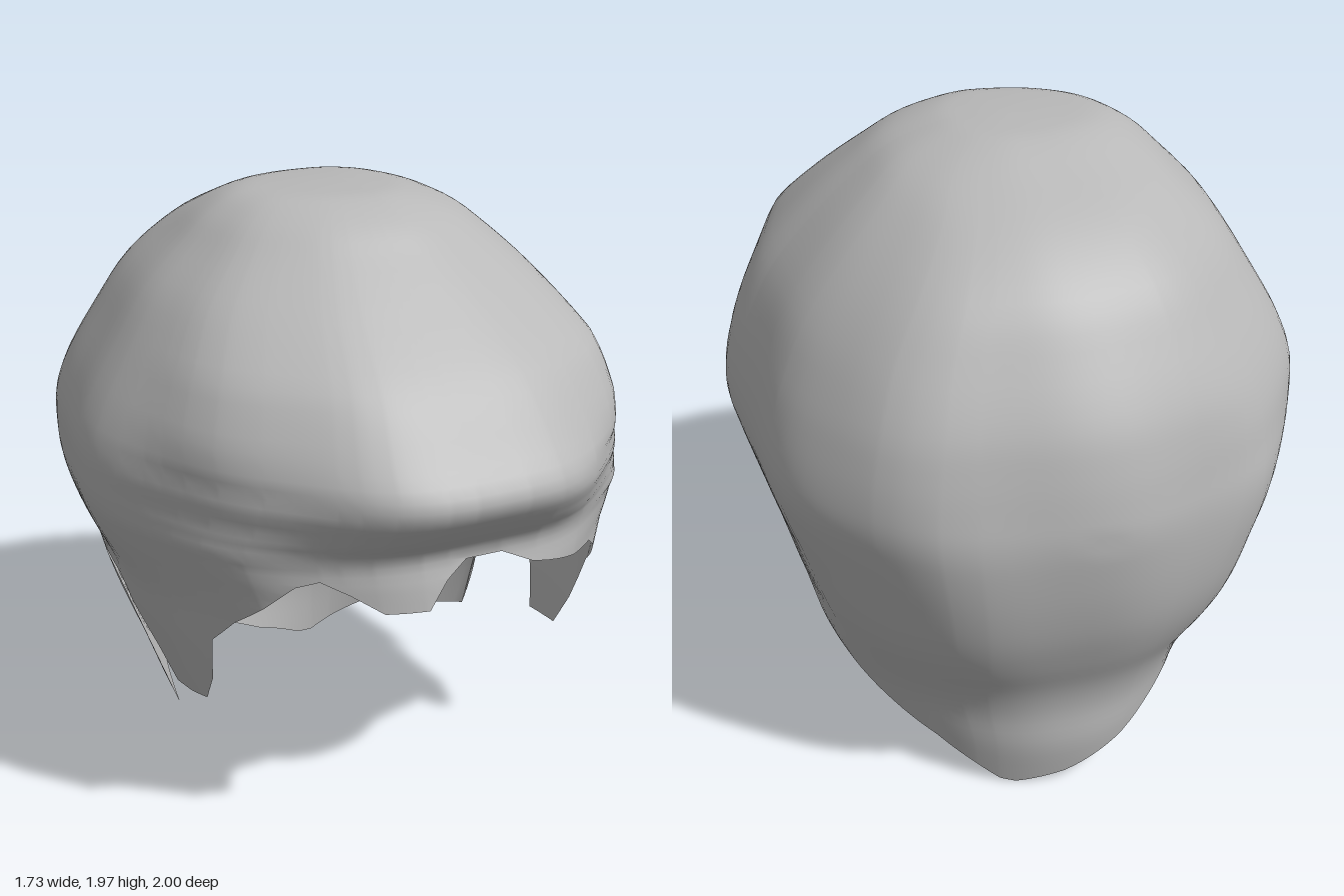
import * as THREE from 'three';
import { mergeVertices } from 'three/addons/utils/BufferGeometryUtils.js';

const { clamp, degToRad, smoothstep } = THREE.MathUtils;

// Cross-sections from crown to nape: height, then reach to front, back, right (-x), left (+x)
const SECTIONS = [
  [1.966, 0, 0, 0, 0],
  [1.962, 0.14, 0.12, 0.17, 0.1],
  [1.95, 0.25, 0.23, 0.31, 0.2],
  [1.9, 0.36, 0.38, 0.41, 0.34],
  [1.82, 0.46, 0.59, 0.5, 0.45],
  [1.7, 0.61, 0.75, 0.62, 0.58],
  [1.55, 0.79, 0.85, 0.72, 0.71],
  [1.4, 0.92, 0.93, 0.81, 0.79],
  [1.28, 1.01, 0.965, 0.86, 0.835],
  [1.17, 0.94, 0.985, 0.866, 0.86],
  [1.08, 0.85, 0.995, 0.855, 0.86],
  [0.98, 0.86, 0.99, 0.82, 0.835],
  [0.84, 0.88, 0.97, 0.755, 0.79],
  [0.7, 0.88, 0.935, 0.715, 0.75],
  [0.56, 0.88, 0.88, 0.67, 0.71],
  [0.42, 0.86, 0.815, 0.625, 0.68],
  [0.3, 0.84, 0.785, 0.59, 0.64],
  [0.16, 0.82, 0.78, 0.54, 0.58],
  [0, 0.8, 0.75, 0.5, 0.55],
];

// Hem height by angle in degrees (0 = front, 90 = left side, 180 = nape)
const HEM = [
  [0, 1.05], [7, 1.05], [14, 1.0], [28, 0.955], [40, 0.93], [48, 0.87], [58, 0.76], [62, 0.6],
  [67, 0.47], [73, 0.45], [80, 0.43], [83.5, 0.54], [89.5, 0.67], [90.5, 0.82], [96, 0.835],
  [102, 0.82], [103.5, 0.77], [104.5, 0.6], [105, 0.28], [113, 0.24], [126, 0.2], [140, 0.15],
  [152, 0.07], [160, 0.01], [165, 0], [180, 0.035], [200, 0.12], [212, 0.2], [220, 0.24],
  [243, 0.25], [255, 0.2], [256, 0.74], [260, 0.77], [268, 0.76], [270.5, 0.67], [276.5, 0.55],
  [280, 0.44], [287, 0.45], [293, 0.47], [298, 0.58], [302, 0.74], [310, 0.84], [319, 0.92],
  [327, 1.0], [332, 1.02], [337, 0.98], [343, 0.92], [352, 0.92], [356, 1.0], [360, 1.05],
];

// Fullness of the two front corners by height: full forehead, slimmer at the brow ridge
const FRONT_CORNER = [[0, 0], [0.95, 0], [1.08, 0.02], [1.17, -0.03], [1.28, -0.05],
  [1.4, 0.01], [1.55, 0.05], [1.7, 0.04], [1.95, 0]];

const sectionCurve = (m, n) => new THREE.CatmullRomCurve3(
  SECTIONS.map(s => new THREE.Vector3(s[m], s[0], s[n])), false, 'catmullrom', 0.5);
const depthCurve = sectionCurve(1, 2);
const widthCurve = sectionCurve(3, 4);

// Linear look-up in a table of pairs
function lookUp(table, v) {
  const found = table.findIndex(p => p[0] >= v);
  const k = found < 0 ? table.length - 1 : Math.max(1, found);
  const [a0, b0] = table[k - 1], [a1, b1] = table[k];
  return b0 + (b1 - b0) * clamp((v - a0) / (a1 - a0), 0, 1);
}

// Curve parameter at which the shell reaches a height
function paramAt(y) {
  let lo = 0, hi = 1;
  for (let i = 0; i < 30; i++) {
    const mid = (lo + hi) / 2;
    if (depthCurve.getPoint(mid).y > y) lo = mid; else hi = mid;
  }
  return hi;
}

// Back corners are full above the nape; the right one (-x) flattens again higher up
function cornerFullness(c, s, y) {
  if (c > 0) return lookUp(FRONT_CORNER, y);
  const left = 0.055 * smoothstep(y, 0.25, 0.65) * (1 - smoothstep(y, 1.6, 1.96));
  return s > 0 ? left : left * (1 - 0.75 * smoothstep(y, 0.75, 1.25));
}

// Point on the shell for an angle and a curve parameter, with soft waves in the hair
function shellPoint(deg, t) {
  const a = degToRad(deg), c = Math.cos(a), s = Math.sin(a);
  const d = depthCurve.getPoint(t), w = widthCurve.getPoint(t);
  const fade = Math.sin(Math.PI * Math.min(1, t * 1.1));
  const wave = 0.007 * fade * (Math.sin(7 * a + 9 * t) + Math.sin(11 * a - 6 * t + 1)) - 0.004 * fade;
  const scale = 1 + wave + cornerFullness(c, s, d.y) * Math.sin(2 * a) ** 2;
  let z = (c > 0 ? d.x * c : -d.z * Math.pow(-c, 0.93)) * scale;
  const x = (s > 0 ? w.z : -w.x) * Math.pow(Math.abs(s), 0.95) * scale;
  // The lower right flap behind the ear sweeps forward
  z += 0.32 * Math.max(0, 0.6 - d.y) * Math.exp(-(((deg - 255) / 16) ** 2));
  // The fringe points slightly towards the left
  return [x + 0.05 * Math.max(0, z), d.y, clamp(z, -1, 1)];
}

function hairGeometry() {
  const rows = 72;
  const angles = HEM.map(h => h[0]);
  for (let a = 0; a < 360; a += 3) {
    if (!angles.some(b => Math.abs(a - b) < 0.9)) angles.push(a);
  }
  angles.sort((a, b) => a - b);

  const points = [], faces = [];
  angles.forEach((deg, i) => {
    const end = paramAt(lookUp(HEM, deg));
    for (let j = 0; j <= rows; j++) {
      points.push(...shellPoint(deg % 360, Math.min(j / rows, end)));
      if (i && j) {
        const q = i * (rows + 1) + j, p = q - rows - 1;
        faces.push(p - 1, p, q, p - 1, q, q - 1);
      }
    }
  });

  let geometry = new THREE.BufferGeometry();
  geometry.setAttribute('position', new THREE.Float32BufferAttribute(points, 3));
  geometry.setIndex(faces);
  geometry = mergeVertices(geometry, 1e-5);

  // Drop the triangles that collapse at the crown and below the hem
  const index = geometry.index.array, kept = [];
  for (let i = 0; i < index.length; i += 3) {
    const [a, b, c] = [index[i], index[i + 1], index[i + 2]];
    if (a !== b && b !== c && a !== c) kept.push(a, b, c);
  }
  geometry.setIndex(kept);
  geometry.computeVertexNormals();
  return geometry;
}

export function createModel() {
  const group = new THREE.Group();
  group.name = 'hairpiece';
  const grey = new THREE.MeshStandardMaterial({ color: 0xb8b8b8, side: THREE.DoubleSide });
  grey.name = 'hair grey';
  const hair = new THREE.Mesh(hairGeometry(), grey);
  hair.name = 'hairShell';
  group.add(hair);
  return group;
}
